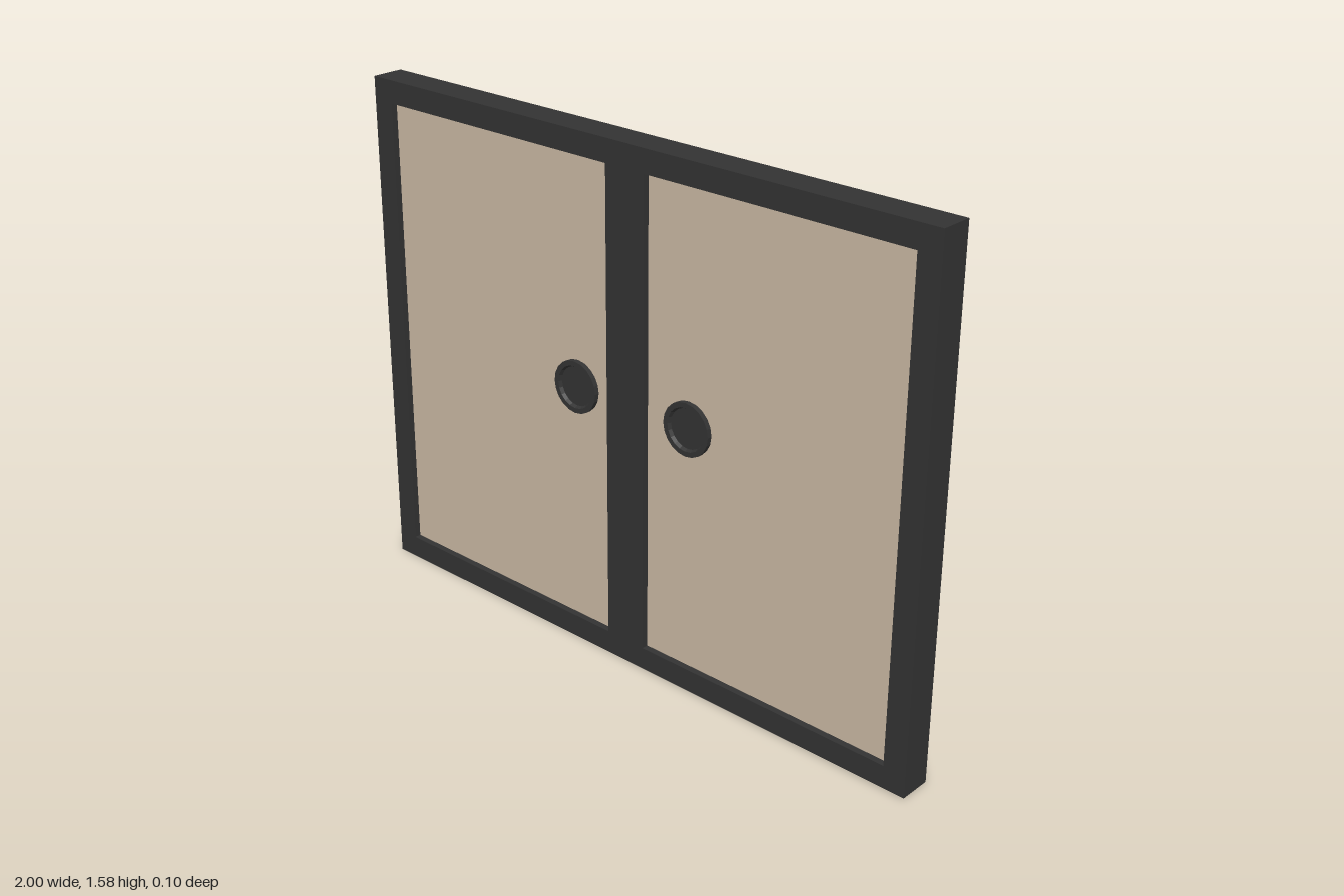
import * as THREE from 'three';

const dark = new THREE.MeshStandardMaterial({ color: 0x333333 });
dark.name = 'charcoal frame';
const tan = new THREE.MeshStandardMaterial({ color: 0xc9b7a2 });
tan.name = 'tan panel';

const HEIGHT = 1.58, DEPTH = 0.1, BORDER = 0.07;

// rectangular frame with one opening, centred on x and z
function frameGeometry() {
  const shape = new THREE.Shape();
  shape.moveTo(-0.5, 0).lineTo(0.5, 0).lineTo(0.5, HEIGHT).lineTo(-0.5, HEIGHT).closePath();
  const hole = new THREE.Path();
  const x = 0.5 - BORDER, top = HEIGHT - BORDER;
  hole.moveTo(-x, BORDER).lineTo(-x, top).lineTo(x, top).lineTo(x, BORDER).closePath();
  shape.holes.push(hole);
  const geometry = new THREE.ExtrudeGeometry(shape, { depth: DEPTH, bevelEnabled: false });
  return geometry.translate(0, 0, -DEPTH / 2);
}

// round pull with a raised rim and a sunken dish
function handleGeometry() {
  const profile = [[0.08, 0], [0.08, 0.015], [0.065, 0.015], [0.06, 0.005], [0, 0.005]];
  const points = profile.map(([r, y]) => new THREE.Vector2(r, y));
  const geometry = new THREE.LatheGeometry(points, 20).toNonIndexed();
  geometry.computeVertexNormals();
  return geometry.rotateX(Math.PI / 2);
}

function createDoor(name, x, handleX) {
  const door = new THREE.Group();
  door.name = name;
  door.position.x = x;

  const frame = new THREE.Mesh(frameGeometry(), dark);
  frame.name = 'doorFrame';

  const panel = new THREE.Mesh(
    new THREE.BoxGeometry(1 - 2 * BORDER, HEIGHT - 2 * BORDER, 0.06), tan);
  panel.name = 'doorPanel';
  panel.position.y = HEIGHT / 2;
  door.add(frame, panel);

  // one pull on each face
  for (const side of [1, -1]) {
    const handle = new THREE.Mesh(handleGeometry(), dark);
    handle.name = side > 0 ? 'frontHandle' : 'backHandle';
    handle.position.set(handleX - x, 0.82, side * 0.03);
    if (side < 0) handle.rotation.y = Math.PI;
    door.add(handle);
  }
  return door;
}

export function createModel() {
  const model = new THREE.Group();
  model.name = 'doubleDoor';
  model.add(createDoor('rightDoor', -0.5, -0.2), createDoor('leftDoor', 0.5, 0.22));
  // dish and rim faces stay visible from any winding
  dark.side = THREE.DoubleSide;
  return model;
}
